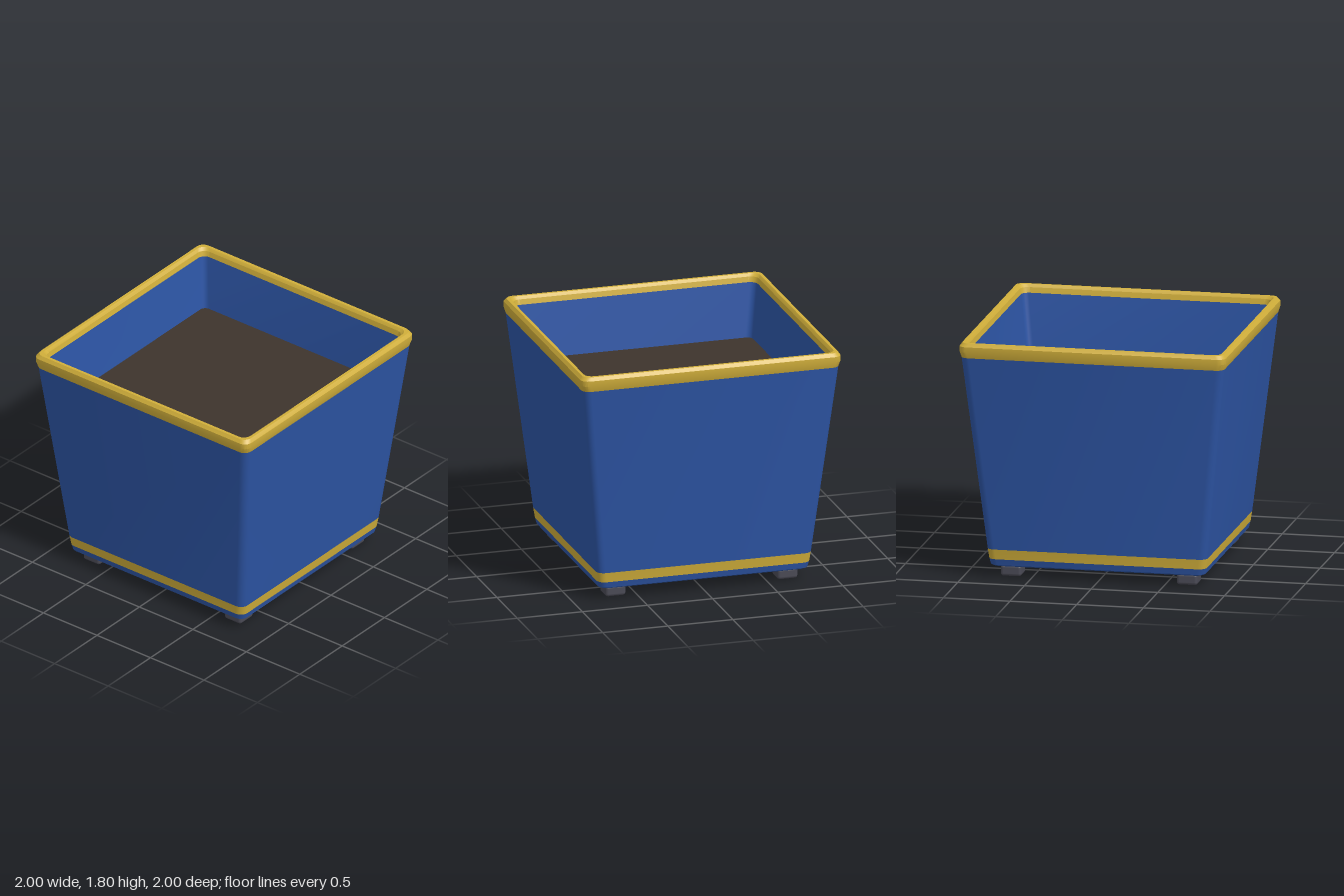
import * as THREE from 'three';
import { toCreasedNormals } from 'three/addons/utils/BufferGeometryUtils.js';
import { RoundedBoxGeometry } from 'three/addons/geometries/RoundedBoxGeometry.js';

const material = (name, color) => {
  const m = new THREE.MeshStandardMaterial({ color });
  m.name = name;
  return m;
};

// Rounded square ring of half-width h at height y
function ring(h, y, radius, steps = 5) {
  const r = Math.min(radius, h), points = [];
  for (let corner = 0; corner < 4; corner++) {
    const mid = (corner + 0.5) * Math.PI / 2;
    const cx = Math.sign(Math.cos(mid)) * (h - r);
    const cz = Math.sign(Math.sin(mid)) * (h - r);
    for (let i = 0; i <= steps; i++) {
      const a = (corner + i / steps) * Math.PI / 2;
      points.push([cx + r * Math.cos(a), y, cz + r * Math.sin(a)]);
    }
  }
  return points;
}

// Skin through rounded squares; the profile lists [half-width, height]
function squareLathe(profile, radius = 0.06) {
  const rings = profile.map(([h, y]) => ring(h, y, radius));
  const n = rings[0].length, index = [];
  for (let k = 0; k < rings.length - 1; k++) {
    for (let i = 0; i < n; i++) {
      const j = (i + 1) % n;
      const a = k * n + i, b = k * n + j;
      index.push(a, a + n, b, b, a + n, b + n);
    }
  }
  const geometry = new THREE.BufferGeometry();
  geometry.setAttribute('position', new THREE.Float32BufferAttribute(rings.flat(2), 3));
  geometry.setIndex(index);
  return toCreasedNormals(geometry, 0.5);
}

export function createModel() {
  const blue = material('blue glaze', 0x2d55a5);
  const gold = material('gold trim', 0xd0ae3a);
  const earth = material('dark soil', 0x3d342c);
  const grey = material('grey feet', 0x4a4a55);

  const model = new THREE.Group();
  model.name = 'planter';
  const add = (name, geometry, mat) => {
    const mesh = new THREE.Mesh(geometry, mat);
    mesh.name = name;
    model.add(mesh);
    return mesh;
  };

  // Underside and rounded lower edge
  add('base', squareLathe([[0, 0.09], [0.79, 0.09], [0.805, 0.1], [0.815, 0.145]]), blue);
  // Painted band, flush with the wall
  add('lowerBand', squareLathe([[0.815, 0.145], [0.825, 0.22]]), gold);
  // Tapered outer and inner walls
  add('outerWall', squareLathe([[0.825, 0.22], [0.986, 1.69]]), blue);
  add('innerWall', squareLathe([[0.932, 1.74], [0.883, 1.31]], 0.045), blue);
  // Bevelled rim
  add('rim', squareLathe([
    [0.986, 1.69], [0.999, 1.735], [0.998, 1.775], [0.98, 1.8],
    [0.957, 1.8], [0.94, 1.78], [0.932, 1.74],
  ]), gold);
  // Soil surface
  add('soil', squareLathe([[0.888, 1.33], [0, 1.33]], 0.045), earth);

  // Four feet
  const footGeometry = new RoundedBoxGeometry(0.156, 0.086, 0.156, 2, 0.022);
  for (const x of [-1, 1]) {
    for (const z of [-1, 1]) {
      const name = (z > 0 ? 'front' : 'back') + (x > 0 ? 'Left' : 'Right') + 'Foot';
      add(name, footGeometry, grey).position.set(x * 0.66, 0.045, z * 0.66);
    }
  }
  return model;
}
